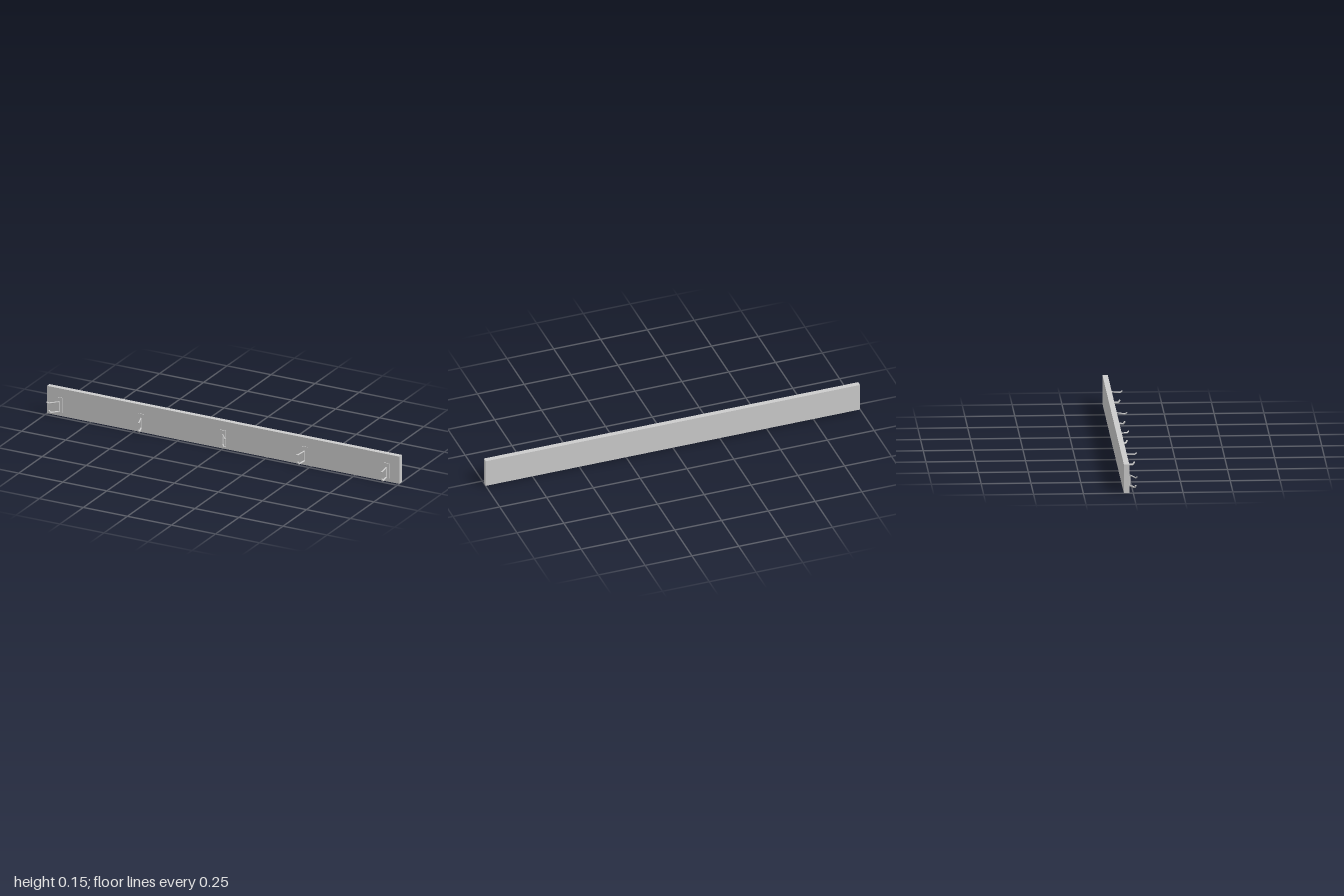
import * as THREE from 'three';

const material = new THREE.MeshStandardMaterial({ color: 0xcccccc });

function addMesh(parent, name, geometry, x = 0, y = 0, z = 0) {
  const mesh = new THREE.Mesh(geometry, material);
  mesh.name = name;
  mesh.position.set(x, y, z);
  parent.add(mesh);
  return mesh;
}

// Round rod through [y, z] points with a rounded tip
function addRod(parent, name, points, radius) {
  const path = new THREE.CurvePath();
  const v = points.map(([y, z]) => new THREE.Vector3(0, y, z));
  for (let i = 1; i < v.length; i++) path.add(new THREE.LineCurve3(v[i - 1], v[i]));
  const curve = new THREE.CatmullRomCurve3(path.getSpacedPoints(24), false, 'centripetal');
  addMesh(parent, name, new THREE.TubeGeometry(curve, 40, radius, 10));
  const tip = v[v.length - 1];
  addMesh(parent, name + 'Tip', new THREE.SphereGeometry(radius, 10, 8), 0, tip.y, tip.z);
}

// Double-pronged hook that swivels about its upright stem
function createHook(angle) {
  const hook = new THREE.Group();
  hook.name = 'hook';
  addMesh(hook, 'mountingPlate', new THREE.BoxGeometry(0.032, 0.08, 0.004), 0, 0.06, 0.002);

  const swivel = new THREE.Group();
  swivel.name = 'swivelProngs';
  swivel.position.z = 0.005;
  swivel.rotation.y = angle;
  addMesh(swivel, 'stem', new THREE.CylinderGeometry(0.004, 0.004, 0.056, 10), 0, 0.05, 0);
  addRod(swivel, 'upperProng', [[0.077, 0], [0.073, 0.045], [0.072, 0.053], [0.078, 0.062]], 0.0035);
  addRod(swivel, 'lowerProng', [[0.024, 0], [0.021, 0.038], [0.021, 0.044], [0.031, 0.051]], 0.0045);
  hook.add(swivel);
  return hook;
}

export function createModel() {
  const model = new THREE.Group();
  model.name = 'coatRack';

  // Long wall board
  addMesh(model, 'backBoard', new THREE.BoxGeometry(2, 0.148, 0.027), 0, 0.074, -0.0335);

  // Evenly spaced hooks, each turned by a different amount
  [-0.98, 0.28, 0.7, -0.2, 0.08].forEach((angle, i) => {
    const hook = createHook(angle);
    hook.position.set((i - 2) * 0.464, 0, -0.02);
    model.add(hook);
  });
  return model;
}
